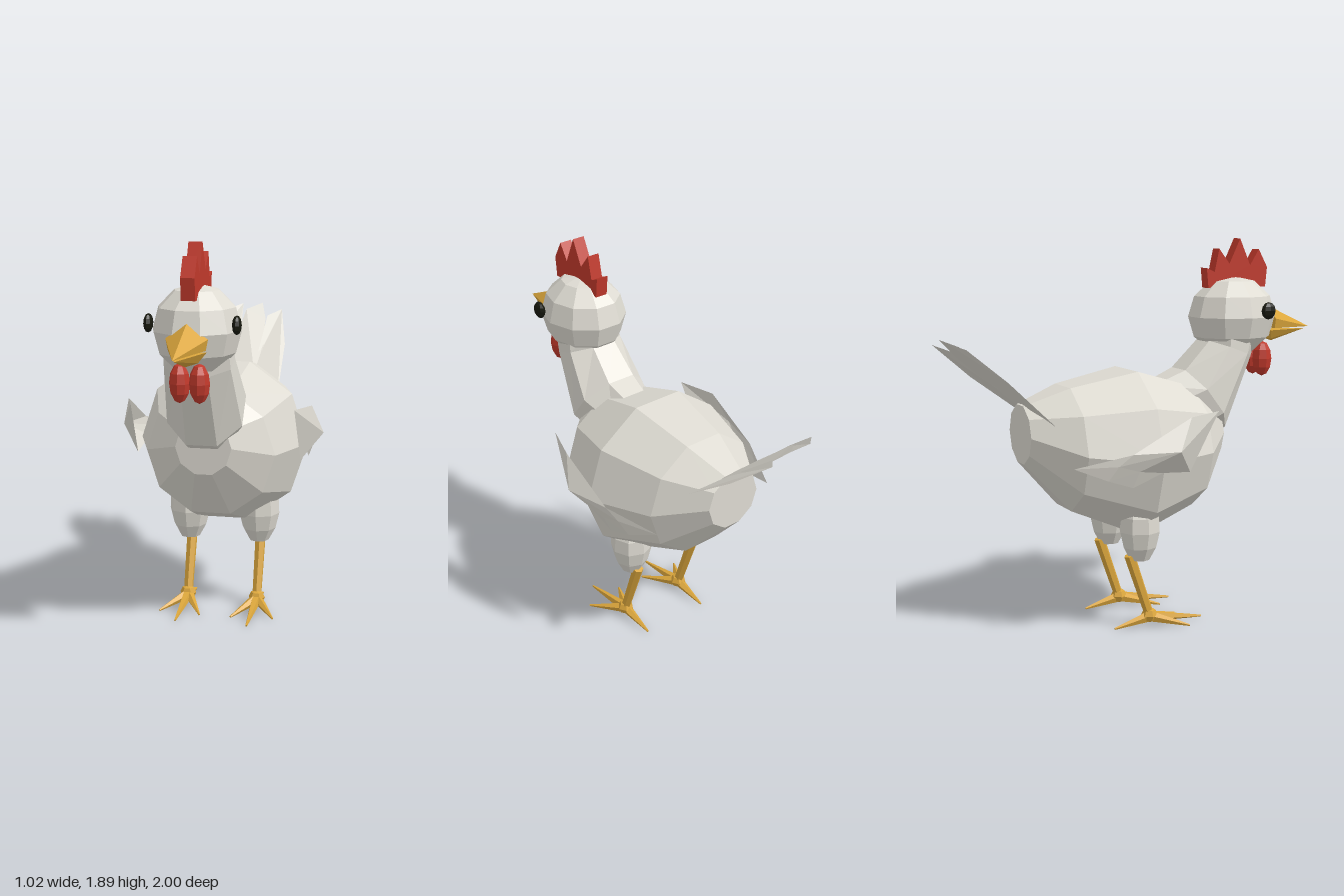
import * as THREE from 'three';
import { ConvexGeometry } from 'three/addons/geometries/ConvexGeometry.js';

const V = (x, y, z) => new THREE.Vector3(x, y, z);

// Triangles from a list of points taken three at a time
function facets(points) {
  const g = new THREE.BufferGeometry().setFromPoints(points);
  g.computeVertexNormals();
  return g;
}

// Skin over rings of equal point count, closed at both ends
function loft(rings) {
  const out = [], n = rings[0].length, last = rings[rings.length - 1];
  for (let i = 0; i < rings.length - 1; i++) {
    for (let j = 0; j < n; j++) {
      const k = (j + 1) % n;
      const a = rings[i][j], b = rings[i][k], c = rings[i + 1][k], d = rings[i + 1][j];
      out.push(a, b, c, a, c, d);
    }
  }
  for (let j = 1; j < n - 1; j++) {
    out.push(rings[0][0], rings[0][j + 1], rings[0][j]);
    out.push(last[0], last[j], last[j + 1]);
  }
  return facets(out);
}

// Tapered rod from p to q
function rod(p, q, r0, r1, sides = 6) {
  const dir = q.clone().sub(p);
  const g = new THREE.CylinderGeometry(r1, r0, dir.length(), sides);
  g.applyQuaternion(new THREE.Quaternion().setFromUnitVectors(V(0, 1, 0), dir.clone().normalize()));
  const m = p.clone().add(q).multiplyScalar(0.5);
  return g.translate(m.x, m.y, m.z);
}

function ball(x, y, z, rx, ry, rz, w = 8, h = 6) {
  return new THREE.SphereGeometry(1, w, h).scale(rx, ry, rz).translate(x, y, z);
}

export function createModel() {
  const model = new THREE.Group();
  model.name = 'hen';
  const material = (name, color, side = THREE.FrontSide) =>
    new THREE.MeshStandardMaterial({ name, color, side, flatShading: true });
  const white = material('featherWhite', 0xdedbd2, THREE.DoubleSide);
  const red = material('combRed', 0xc0392b);
  const yellow = material('beakYellow', 0xdba63c);
  const black = material('eyeBlack', 0x17180e);
  const add = (name, geometry, mat, parent = model) => {
    const mesh = new THREE.Mesh(geometry, mat);
    mesh.name = name;
    parent.add(mesh);
    return mesh;
  };

  // Body: ten-sided rings [z, centre y, radius] from breast to rump
  const bodyRings = [[0.42, 0.93, 0.135], [0.26, 0.87, 0.315], [-0.06, 0.86, 0.425],
    [-0.4, 0.9, 0.315], [-0.62, 0.98, 0.147]];
  add('body', loft(bodyRings.map(([z, cy, r]) =>
    Array.from({ length: 10 }, (_, j) => {
      const a = (j + 0.5) * Math.PI / 5;
      return V(Math.sin(a) * r, cy + Math.cos(a) * r, z);
    }))), white);

  // Neck: slanted rings [front z, front y, back z, back y, half width]
  const neckRings = [[0.3, 0.86, 0.06, 1.18, 0.13], [0.46, 0.95, 0.23, 1.25, 0.18],
    [0.61, 1.3, 0.37, 1.39, 0.155], [0.65, 1.42, 0.37, 1.47, 0.15]];
  add('neck', loft(neckRings.map(([fz, fy, bz, by, w]) =>
    Array.from({ length: 8 }, (_, j) => {
      const a = (j + 0.5) * Math.PI / 4, c = Math.cos(a) * 1.08;
      return V(Math.sin(a) * w * 1.08, (fy + by) / 2 + c * (fy - by) / 2, (fz + bz) / 2 + c * (fz - bz) / 2);
    }))), white);

  // Head
  add('head', ball(0, 1.505, 0.535, 0.205, 0.205, 0.23, 10, 6), white);

  // Beak halves
  add('upperBeak', new ConvexGeometry([V(0, 1.555, 0.74), V(0.095, 1.49, 0.74), V(-0.095, 1.49, 0.74),
    V(0.085, 1.44, 0.74), V(-0.085, 1.44, 0.74), V(0, 1.435, 1)]), yellow);
  add('lowerBeak', new ConvexGeometry([V(0.085, 1.43, 0.72), V(-0.085, 1.43, 0.72), V(0.05, 1.385, 0.74),
    V(-0.05, 1.385, 0.74), V(0, 1.37, 0.77), V(0, 1.425, 0.97)]), yellow);

  // Comb: zigzag plate given as [z, y]
  const comb = [[0.71, 1.65], [0.72, 1.75], [0.67, 1.84], [0.62, 1.76], [0.56, 1.895], [0.5, 1.77],
    [0.44, 1.845], [0.415, 1.73], [0.37, 1.75], [0.38, 1.65]];
  add('comb', new THREE.ExtrudeGeometry(new THREE.Shape(comb.map(([z, y]) => new THREE.Vector2(z, y))),
    { depth: 0.064, bevelEnabled: false }).translate(0, 0, -0.032).rotateY(-Math.PI / 2), red);

  // Tail: three pointed feathers, each tilted; outlines as [x, z]
  const tail = new THREE.Group();
  tail.name = 'tail';
  model.add(tail);
  const feathers = [
    [[-0.2, -0.52], [-0.205, -0.75], [-0.16, -0.93], [-0.08, -1], [-0.07, -0.9], [-0.08, -0.6], [0, -0.52]],
    [[-0.1, -0.52], [-0.1, -0.66], [-0.05, -0.93], [0.03, -1], [0.06, -0.92], [0.09, -0.62], [0.08, -0.52]],
    [[0, -0.52], [0.05, -0.66], [0.07, -0.93], [0.14, -1], [0.19, -0.8], [0.2, -0.52]],
  ];
  feathers.forEach((outline, i) => {
    const g = new THREE.ShapeGeometry(new THREE.Shape(outline.map(([x, z]) => new THREE.Vector2(x, -z))));
    const p = g.attributes.position, middle = (i - 1) * 0.12;
    for (let j = 0; j < p.count; j++) {
      const x = p.getX(j), t = p.getY(j) - 0.52;
      p.setXYZ(j, x, 1.04 + 0.83 * t - 0.9 * (x - middle) * t + (i === 2 ? -0.04 : 0.04) * t, -0.52 - t);
    }
    g.computeVertexNormals();
    add('tailFeather', g, white, tail);
  });

  for (const s of [1, -1]) {
    const label = s > 0 ? 'left' : 'right';

    add(label + 'Eye', ball(s * 0.2, 1.54, 0.63, 0.022, 0.043, 0.041), black);
    add(label + 'Wattle', ball(s * 0.045, 1.285, 0.69, 0.048, 0.09, 0.052), red);

    // Wing: folded panel with a ridge, then three feathers
    const W = (x, y, z) => V(s * x, y, z);
    const front = W(0.4, 1.09, 0.24), top = W(0.46, 1.08, 0.06), ridge = W(0.51, 0.93, -0.02);
    const low = W(0.41, 0.81, 0.08), upper = W(0.455, 0.925, -0.24), belly = W(0.42, 0.82, -0.07);
    const tips = [W(0.345, 0.86, -0.49), W(0.4, 0.8, -0.34), W(0.41, 0.76, -0.22)];
    const notch = [W(0.43, 0.87, -0.3), W(0.44, 0.84, -0.2)];
    add(label + 'Wing', facets([
      front, low, ridge, front, ridge, top, top, ridge, upper, low, belly, ridge,
      ridge, notch[0], upper, upper, notch[0], tips[0],
      ridge, notch[1], notch[0], notch[0], notch[1], tips[1], notch[0], tips[1], tips[0],
      ridge, belly, notch[1], belly, tips[2], notch[1], notch[1], tips[2], tips[1],
    ]), white);

    // Leg: thigh, shank, ankle and four toes
    const leg = new THREE.Group();
    leg.name = label + 'Leg';
    leg.position.set(s * 0.18, 0, 0);
    model.add(leg);
    const thigh = [[0, 0.335], [0.05, 0.345], [0.085, 0.41], [0.104, 0.49], [0.1, 0.565], [0.06, 0.66], [0, 0.68]];
    add('thigh', new THREE.LatheGeometry(thigh.map(([r, y]) => new THREE.Vector2(r, y)), 8)
      .translate(0, 0, -0.075), white, leg);
    add('shank', rod(V(0, 0.05, -0.02), V(0, 0.37, -0.13), 0.024, 0.028), yellow, leg);
    add('ankle', ball(0, 0.052, -0.02, 0.042, 0.038, 0.042, 6, 4), yellow, leg);
    for (const [x, z] of [[0, 0.27], [-0.1, 0.17], [0.11, 0.15], [0, -0.21]]) {
      add('toe', rod(V(0, 0.045, -0.02), V(s * x, 0.006, z), 0.028, 0.005, 5), yellow, leg);
    }
  }
  return model;
}
